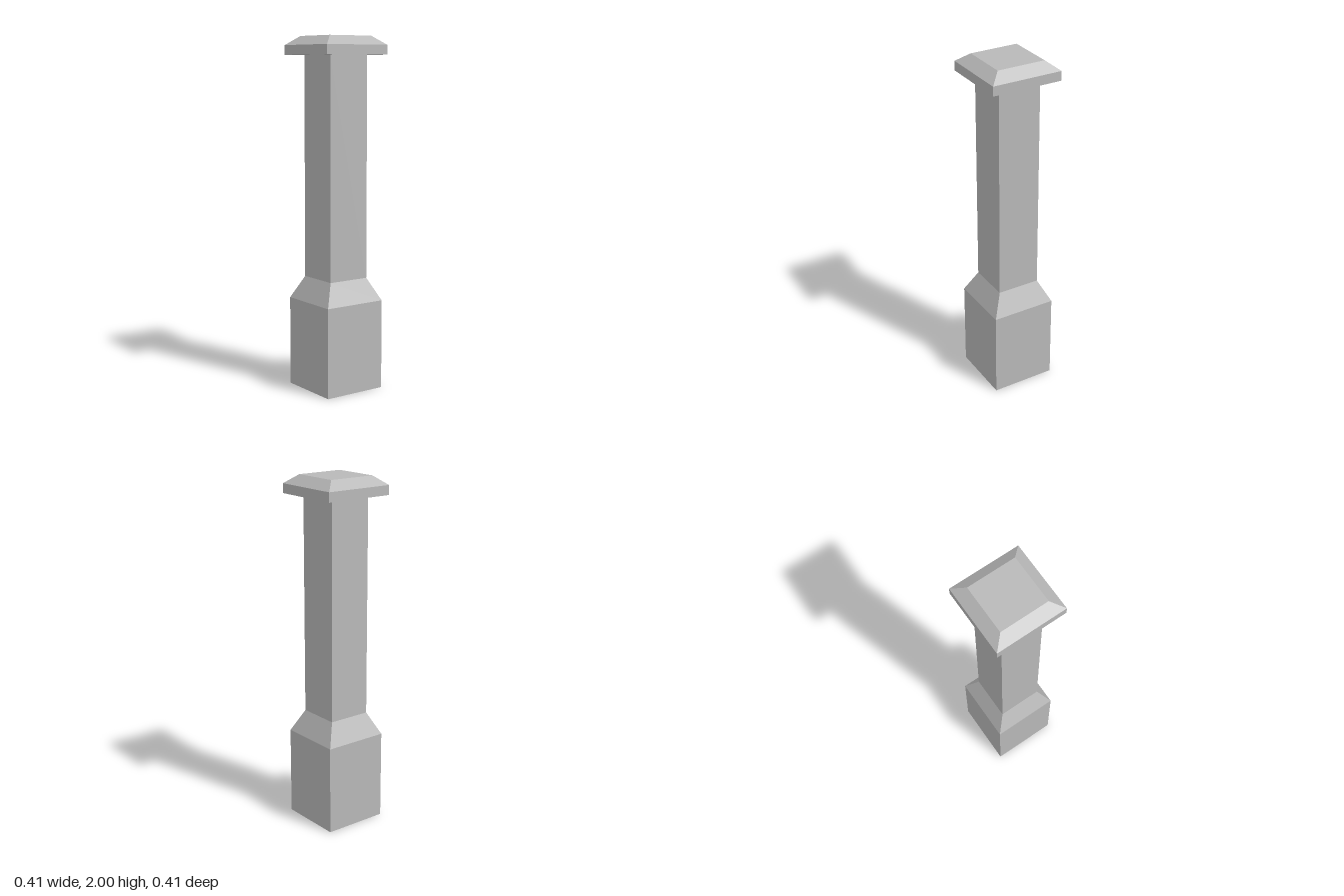
import * as THREE from 'three';

const stone = new THREE.MeshStandardMaterial({ color: 0xb8b8b8 });
stone.name = 'grey stone';

// Square section swept up a profile of [half width, height] points, with hard edges
function squarePart(name, profile) {
  const points = profile.map(([half, y]) => new THREE.Vector2(half * Math.SQRT2, y));
  const geometry = new THREE.LatheGeometry(points, 4, Math.PI / 4).toNonIndexed();
  geometry.computeVertexNormals();
  const mesh = new THREE.Mesh(geometry, stone);
  mesh.name = name;
  return mesh;
}

export function createModel() {
  const post = new THREE.Group();
  post.name = 'post';
  post.add(
    // Broad foot with a closed underside and sloped shoulder
    squarePart('base', [[0, 0], [0.188, 0], [0.188, 0.512], [0.125, 0.64]]),
    // Slim upright
    squarePart('shaft', [[0.125, 0.64], [0.125, 1.896]]),
    // Overhanging slab with a bevelled top
    squarePart('cap', [[0, 1.896], [0.204, 1.896], [0.204, 1.95], [0.14, 2], [0, 2]]),
  );
  return post;
}
